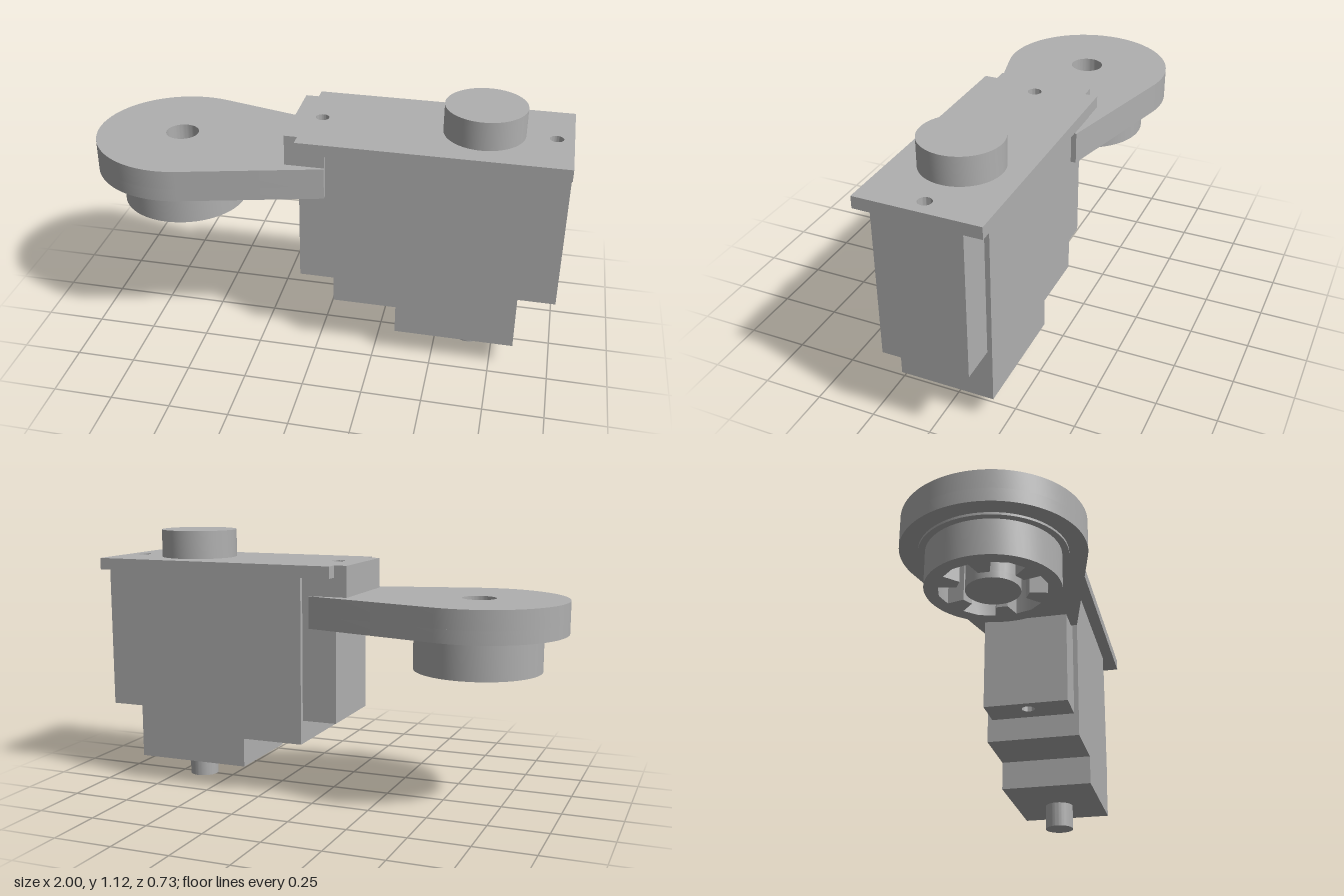
import * as THREE from 'three';
import { toCreasedNormals } from 'three/addons/utils/BufferGeometryUtils.js';

export function createModel() {
  const model = new THREE.Group();
  model.name = 'servoWithArm';
  const grey = new THREE.MeshStandardMaterial({ color: 0xb0b0b0 });
  grey.name = 'grey';

  const HUB_X = -0.635, SHAFT_X = 0.645;
  const SCREWS = [-0.02, 0.93];

  function add(name, geometry) {
    const mesh = new THREE.Mesh(toCreasedNormals(geometry, 0.5), grey);
    mesh.name = name;
    model.add(mesh);
    return mesh;
  }
  // Plan outline raised vertically from y0 to y1
  function slab(name, shape, y0, y1) {
    const g = new THREE.ExtrudeGeometry(shape, { depth: y1 - y0, bevelEnabled: false, curveSegments: 32 });
    g.rotateX(-Math.PI / 2);
    g.translate(0, y0, 0);
    return add(name, g);
  }
  const circle = (Type, x, r) => new Type().absarc(x, 0, r, 0, Math.PI * 2, false);
  const disc = (x, r) => circle(THREE.Shape, x, r);
  const hole = (x, r) => circle(THREE.Path, x, r);
  function rect(x0, x1, halfZ, holes = []) {
    const s = new THREE.Shape([[x0, -halfZ], [x1, -halfZ], [x1, halfZ], [x0, halfZ]]
      .map(([x, y]) => new THREE.Vector2(x, y)));
    holes.forEach((x) => s.holes.push(hole(x, 0.028)));
    return s;
  }

  // Stepped main body, extruded across z
  const profile = new THREE.Shape([[0.07, 0.235], [0.34, 0.235], [0.34, 0.11], [0.845, 0.11], [0.845, 0.95], [0.07, 0.95]]
    .map(([x, y]) => new THREE.Vector2(x, y)));
  const body = new THREE.ExtrudeGeometry(profile, { depth: 0.4, bevelEnabled: false });
  body.translate(0, 0, -0.2);
  add('body', body);

  // Drilled end pillars and top plate
  slab('innerPillar', rect(-0.08, 0.07, 0.18, [SCREWS[0]]), 0.335, 0.95);
  slab('outerPillar', rect(0.845, 1.0, 0.18, [SCREWS[1]]), 0.335, 0.95);
  slab('topPlate', rect(-0.08, 1.0, 0.253, SCREWS), 0.95, 1.0);

  // Tab over the root of the arm
  slab('tabLower', rect(-0.135, 0.03, 0.2, [SCREWS[0]]), 0.87, 0.95);
  slab('tabUpper', rect(-0.135, -0.08, 0.2), 0.95, 1.0);

  // Knob above and shaft below
  slab('knob', disc(SHAFT_X, 0.165), 1.0, 1.12);
  slab('shaft', disc(SHAFT_X, 0.063), 0, 0.11);

  // Teardrop arm: round end with straight sides tapering to the body
  function armShape(holeRadius) {
    const a = 1.321, s = new THREE.Shape();
    s.moveTo(0.03, -0.207);
    s.lineTo(0.03, 0.207);
    s.absarc(HUB_X, 0, 0.365, a, Math.PI * 2 - a, false);
    s.closePath();
    s.holes.push(hole(HUB_X, holeRadius), hole(SCREWS[0], 0.028));
    return s;
  }
  slab('armLower', armShape(0.04), 0.735, 0.79);
  slab('armUpper', armShape(0.07), 0.79, 0.87);

  // Hub ring with six pockets between inward teeth
  function socketRing(r) {
    const s = disc(HUB_X, r), p = [];
    for (let i = 0; i < 6; i++) {
      const mid = Math.PI / 6 + i * Math.PI / 3;
      for (const [da, rad] of [[-0.36, 0.14], [-0.32, 0.21], [0, 0.215], [0.32, 0.21], [0.36, 0.14]]) {
        p.push(new THREE.Vector2(HUB_X + rad * Math.cos(mid + da), rad * Math.sin(mid + da)));
      }
    }
    s.holes.push(new THREE.Path(p));
    return s;
  }
  slab('hubRing', socketRing(0.265), 0.575, 0.725);
  slab('hubFlange', socketRing(0.292), 0.725, 0.735);

  // Central boss with a blind bore
  const boss = disc(HUB_X, 0.107);
  boss.holes.push(hole(HUB_X, 0.04));
  slab('hubBoss', boss, 0.6, 0.735);
  slab('hubBossCap', disc(HUB_X, 0.107), 0.57, 0.6);

  return model;
}
